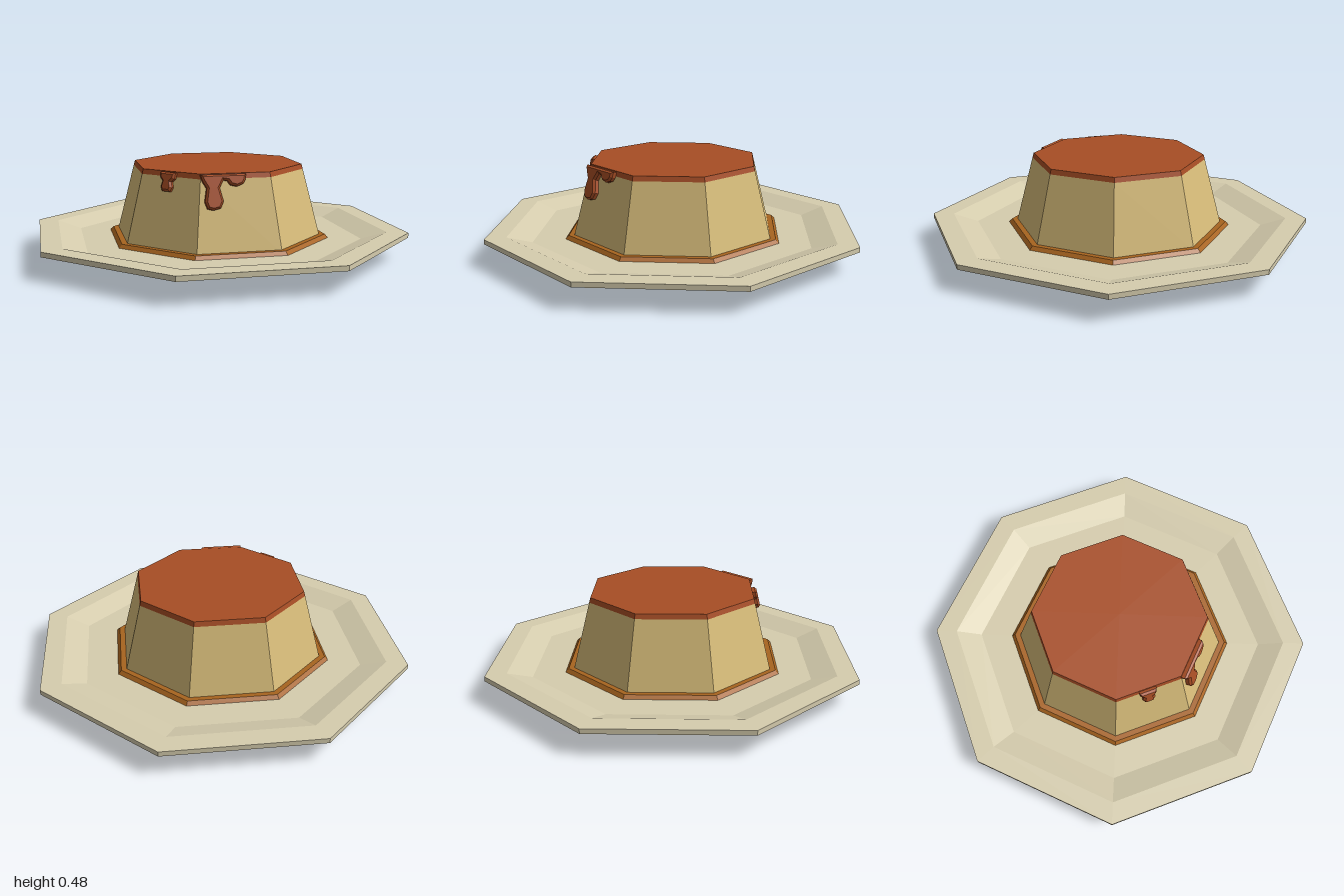
import * as THREE from 'three';

const flat = (name, color) => {
  const m = new THREE.MeshStandardMaterial({ color, flatShading: true });
  m.name = name;
  return m;
};

export function createModel() {
  const model = new THREE.Group();
  model.name = 'puddingOnPlate';
  const cream = flat('cream plate', 0xd6cdae);
  const custard = flat('custard yellow', 0xd8bd7a);
  const caramel = flat('caramel red brown', 0xa84e25);
  const syrup = flat('syrup orange brown', 0xa8641f);

  const add = (name, geometry, material, parent = model) => {
    const mesh = new THREE.Mesh(geometry, material);
    mesh.name = name;
    parent.add(mesh);
    return mesh;
  };
  // Eight-sided turned part; profile runs bottom to top as [radius, y]
  const turned = (name, profile, material) =>
    add(name, new THREE.LatheGeometry(profile.map(p => new THREE.Vector2(...p)), 8), material);

  // Plate with sunken floor and flat rim
  turned('plate', [[0, 0], [0.4, 0], [0.88, 0.097], [1, 0.11], [1, 0.135],
    [0.89, 0.135], [0.76, 0.095], [0, 0.095]], cream);
  // Pool of syrup around the foot
  turned('syrupPool', [[0.59, 0.095], [0.573, 0.113], [0.5, 0.113]], syrup);
  // Custard body and caramel top
  turned('custardBody', [[0.548, 0.095], [0.452, 0.455]], custard);
  turned('caramelTop', [[0.452, 0.455], [0.445, 0.48], [0, 0.48]], caramel);

  // Drips lie on the sloping side faces; outline is measured from the top edge
  const drip = (name, yaw, thickness, outline) => {
    const bevel = 0.01;
    const geometry = new THREE.ExtrudeGeometry(
      new THREE.Shape(outline.map(p => new THREE.Vector2(...p))),
      { depth: thickness, bevelEnabled: true, bevelSegments: 1,
        bevelSize: bevel, bevelThickness: bevel, bevelOffset: -bevel });
    geometry.translate(0, 0, -bevel);
    const mesh = add(name, geometry, caramel);
    mesh.rotation.set(-Math.atan(0.246), yaw, 0, 'YXZ');
    mesh.position.set(Math.sin(yaw) * 0.411, 0.48, Math.cos(yaw) * 0.411);
  };
  drip('largeDrip', Math.PI / 8, 0.03, [
    [0.045, -0.006], [-0.175, -0.006], [-0.168, -0.035], [-0.148, -0.07], [-0.16, -0.135],
    [-0.148, -0.168], [-0.12, -0.176], [-0.086, -0.168], [-0.07, -0.135], [-0.086, -0.07],
    [-0.066, -0.034], [-0.045, -0.038], [-0.032, -0.058], [0, -0.066], [0.03, -0.054],
    [0.042, -0.034]]);
  drip('smallDrip', -Math.PI / 8, 0.024, [
    [0.036, -0.006], [-0.052, -0.006], [-0.05, -0.034], [-0.034, -0.05], [-0.04, -0.078],
    [-0.03, -0.1], [0.016, -0.1], [0.026, -0.078], [0.018, -0.052], [0.034, -0.036]]);

  return model;
}
